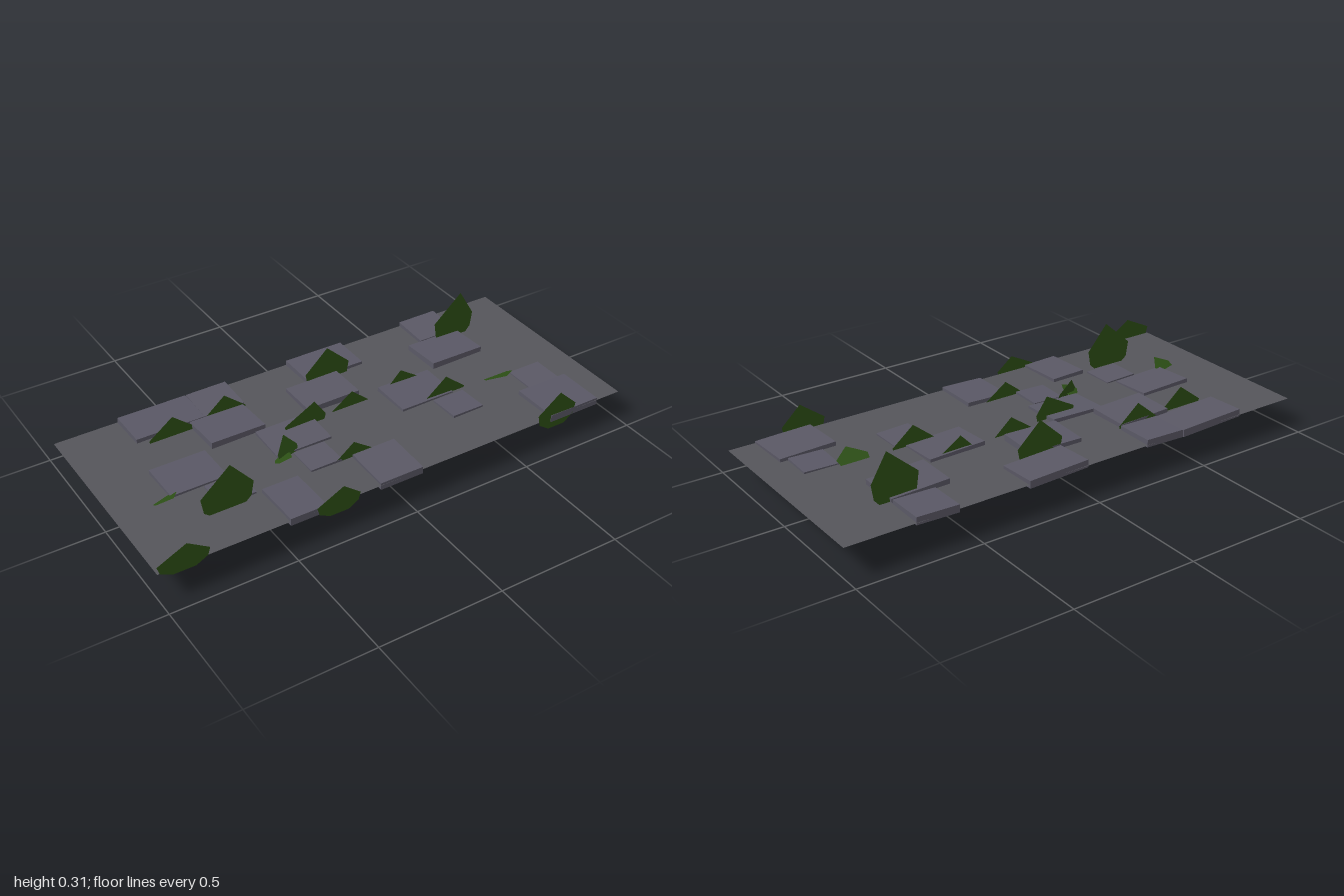
import * as THREE from 'three';

const mat = (name, color, side = THREE.FrontSide) => {
  const m = new THREE.MeshStandardMaterial({ color, side });
  m.name = name;
  return m;
};

export function createModel() {
  const model = new THREE.Group();
  const groundMat = mat('ground grey', 0x55555a, THREE.DoubleSide);
  const stoneMat = mat('stone grey', 0x5a5865);
  const leafMat = mat('leaf green', 0x2d5016, THREE.DoubleSide);

  // Thin ground sheet
  const ground = new THREE.Mesh(new THREE.PlaneGeometry(2, 0.86), groundMat);
  ground.name = 'ground';
  ground.rotation.x = -Math.PI / 2;
  ground.position.y = 0.125;
  model.add(ground);

  // Paving stones in rows: z range, centre height, tilt, then x ranges
  const rows = [
    { z: [-0.43, -0.27], y: 0.127, tilt: 0.03, xs: [[-0.74, -0.45], [-0.45, -0.28], [0, 0.26], [0.55, 0.72]] },
    { z: [-0.26, -0.09], y: 0.131, tilt: -0.03, xs: [[-0.52, -0.29], [-0.1, 0.13], [0.48, 0.72]] },
    { z: [-0.08, 0.09], y: 0.121, tilt: 0.04, xs: [[-0.78, -0.55], [-0.34, -0.11], [0.21, 0.45]] },
    { z: [0.1, 0.23], y: 0.117, tilt: -0.02, xs: [[-0.65, -0.51], [-0.28, -0.15], [0.35, 0.49], [0.72, 0.86]] },
    { z: [0.235, 0.43], y: 0.123, tilt: 0.02, xs: [[-0.49, -0.34], [-0.11, 0.07], [0.66, 0.89]] },
  ];
  for (const { z, y, tilt, xs } of rows) {
    xs.forEach(([x0, x1], i) => {
      const stone = new THREE.Mesh(new THREE.BoxGeometry(x1 - x0, 0.03, z[1] - z[0]), stoneMat);
      stone.name = 'pavingStone';
      stone.position.set((x0 + x1) / 2, y, (z[0] + z[1]) / 2);
      stone.rotation.set(tilt, (i % 2 ? -1 : 1) * 0.02, (i % 2 ? 1 : -1) * 0.02);
      model.add(stone);
    });
  }

  // Leaf outline: pointed crown over a rounded lower edge
  const leafGeometry = (x0, x1, peakX, y0, y1) => {
    const w = x1 - x0, h = y1 - y0;
    const at = (u, v) => new THREE.Vector2(x0 + u * w, y0 + v * h);
    return new THREE.ShapeGeometry(new THREE.Shape([
      at(0.3, 0), at(0.72, 0), at(0.95, 0.22), at(1, 0.5),
      new THREE.Vector2(peakX, y1), at(0, 0.5), at(0.05, 0.2),
    ]));
  };

  // Upright leaves: left x, right x, peak x, bottom y, top y, z
  const leaves = [
    [-1, -0.8, -0.885, 0.1, 0.21, 0.43],
    [-0.74, -0.53, -0.62, 0.1, 0.31, 0.25],
    [-0.7, -0.51, -0.6, 0.06, 0.21, -0.24],
    [-0.46, -0.28, -0.37, 0.06, 0.21, -0.26],
    [-0.38, -0.2, -0.27, 0.08, 0.19, 0.43],
    [-0.24, -0.06, -0.11, 0.08, 0.22, -0.03],
    [-0.19, 0, -0.1, 0.05, 0.19, 0.23],
    [-0.01, 0.19, 0.09, 0.08, 0.265, -0.26],
    [-0.05, 0.17, 0.07, 0.02, 0.19, -0.05],
    [0.22, 0.45, 0.31, 0.005, 0.19, -0.07],
    [0.33, 0.51, 0.42, 0.06, 0.205, 0.08],
    [0.6, 0.79, 0.725, 0.1, 0.32, -0.25],
    [0.6, 0.78, 0.7, 0.08, 0.23, 0.43],
  ];
  for (const [x0, x1, px, y0, y1, z] of leaves) {
    const leaf = new THREE.Mesh(leafGeometry(x0, x1, px, y0, y1), leafMat);
    leaf.name = 'uprightLeaf';
    leaf.position.z = z;
    model.add(leaf);
  }

  // Small leaning leaves: centre x, y, z, width, length, lean, turn
  const leaning = [
    [-0.8, 0.138, 0.1, 0.1, 0.09, 1.05, 0.3],
    [-0.33, 0.14, 0.12, 0.08, 0.07, 1.15, 0.5],
    [-0.3, 0.148, 0.09, 0.1, 0.12, -0.35, 0.25],
    [0.665, 0.137, 0.105, 0.13, 0.1, 1.1, 0],
  ];
  for (const [x, y, z, w, l, lean, turn] of leaning) {
    const leaf = new THREE.Mesh(leafGeometry(-w / 2, w / 2, 0, -l / 2, l / 2), leafMat);
    leaf.name = 'leaningLeaf';
    leaf.position.set(x, y, z);
    leaf.rotation.set(lean, turn, 0, 'YXZ');
    model.add(leaf);
  }
  return model;
}
